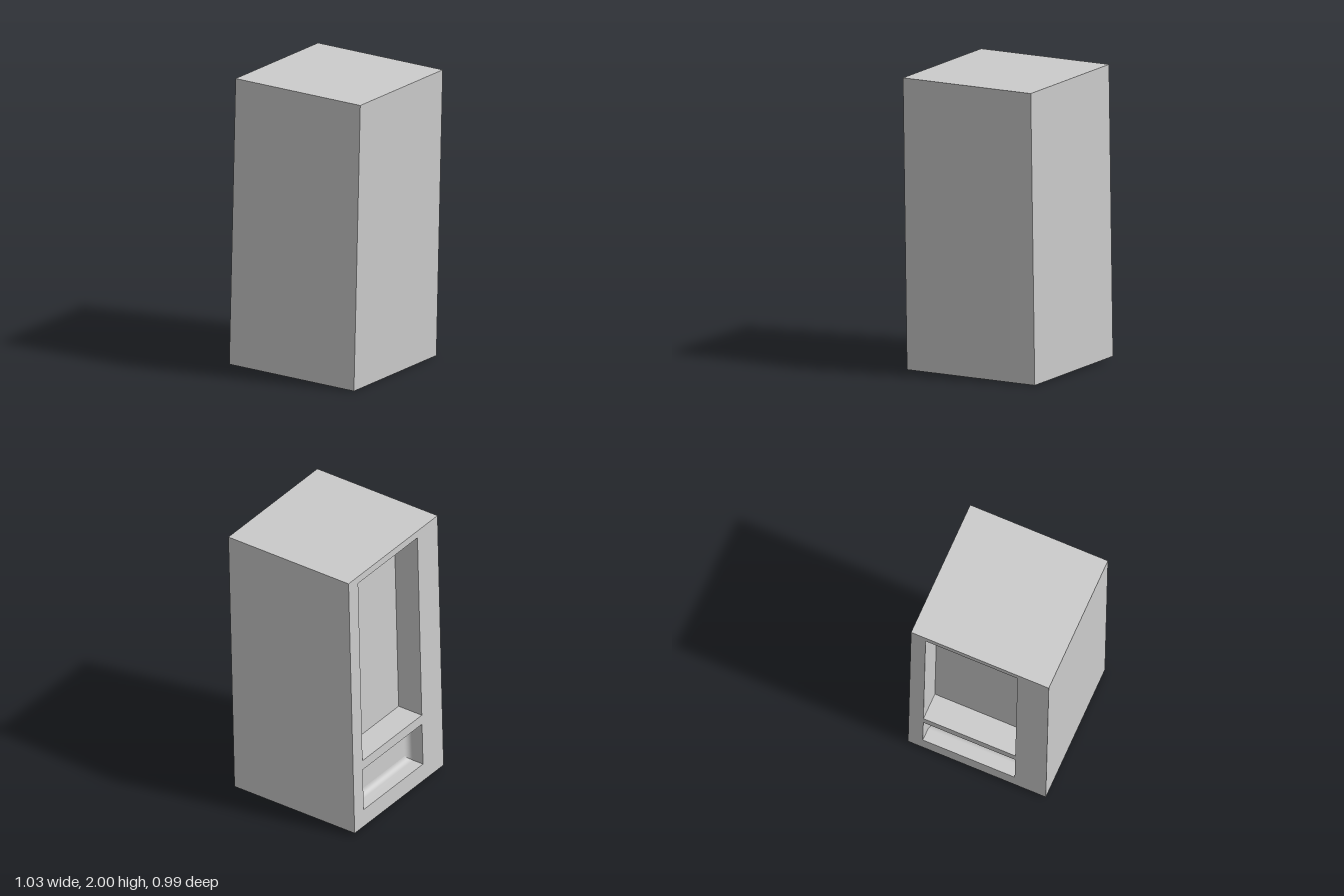
import * as THREE from 'three';

const W = 0.985, H = 1.975, D = 0.99, TILT = 0.0254;
const grey = new THREE.MeshStandardMaterial({ color: 0xcccccc });

function mesh(name, geometry) {
  const m = new THREE.Mesh(geometry, grey);
  m.name = name;
  return m;
}

// Corners of an opening, counter-clockwise, shrunk by an inset
function corners({ u0, u1, v0, v1 }, inset = 0) {
  return [
    [u0 + inset, v0 + inset], [u1 - inset, v0 + inset],
    [u1 - inset, v1 - inset], [u0 + inset, v1 - inset],
  ];
}

// Pocket sunk into a +z facing panel, with an optional fillet around its back
function pocketGeometry(opening, depth, radius) {
  const rings = [[0, 0]];
  const steps = radius ? 6 : 0;
  for (let i = 0; i <= steps; i++) {
    const a = steps ? (i / steps) * Math.PI / 2 : 0;
    rings.push([radius * (1 - Math.cos(a)), depth - radius + radius * Math.sin(a)]);
  }
  const pos = [], index = [];
  // Four walls, each with its own vertices so the corners stay sharp
  for (let s = 0; s < 4; s++) {
    rings.forEach(([inset, d], i) => {
      const c = corners(opening, inset);
      const n = pos.length / 3;
      pos.push(...c[s], -d, ...c[(s + 1) % 4], -d);
      if (i > 0) index.push(n - 2, n - 1, n + 1, n - 2, n + 1, n);
    });
  }
  // Back panel
  const n = pos.length / 3;
  corners(opening, radius).forEach((c) => pos.push(...c, -depth));
  index.push(n, n + 1, n + 2, n, n + 2, n + 3);
  const g = new THREE.BufferGeometry();
  g.setAttribute('position', new THREE.Float32BufferAttribute(pos, 3));
  g.setIndex(index);
  g.computeVertexNormals();
  return g;
}

export function createModel() {
  const model = new THREE.Group();
  model.name = 'vendingMachine';
  const cabinet = new THREE.Group();
  cabinet.name = 'cabinet';
  cabinet.position.y = 1;
  cabinet.rotation.z = -TILT;
  model.add(cabinet);

  // Shell: a box without its -x side
  const box = new THREE.BoxGeometry(W, H, D);
  const kept = Array.from(box.index.array).filter((_, i) => i < 6 || i >= 12);
  box.setIndex(kept);
  box.clearGroups();
  cabinet.add(mesh('shell', box));

  // Service side, drawn facing +z and turned to face -x
  const side = new THREE.Group();
  side.name = 'serviceSide';
  side.rotation.y = -Math.PI / 2;
  side.position.x = -W / 2;
  cabinet.add(side);

  const bottom = -H / 2;
  const display = { u0: -0.39, u1: 0.27, v0: bottom + 0.517, v1: H / 2 - 0.053 };
  const tray = { u0: -0.39, u1: 0.27, v0: bottom + 0.13, v1: bottom + 0.446 };

  const toPoints = (list) => list.map(([x, y]) => new THREE.Vector2(x, y));
  const panel = new THREE.Shape(toPoints(corners({ u0: -D / 2, u1: D / 2, v0: -H / 2, v1: H / 2 })));
  for (const o of [display, tray]) panel.holes.push(new THREE.Path(toPoints(corners(o))));

  side.add(
    mesh('sidePanel', new THREE.ShapeGeometry(panel)),
    mesh('displayRecess', pocketGeometry(display, 0.19, 0)),
    mesh('trayRecess', pocketGeometry(tray, 0.12, 0.04)),
  );
  return model;
}
